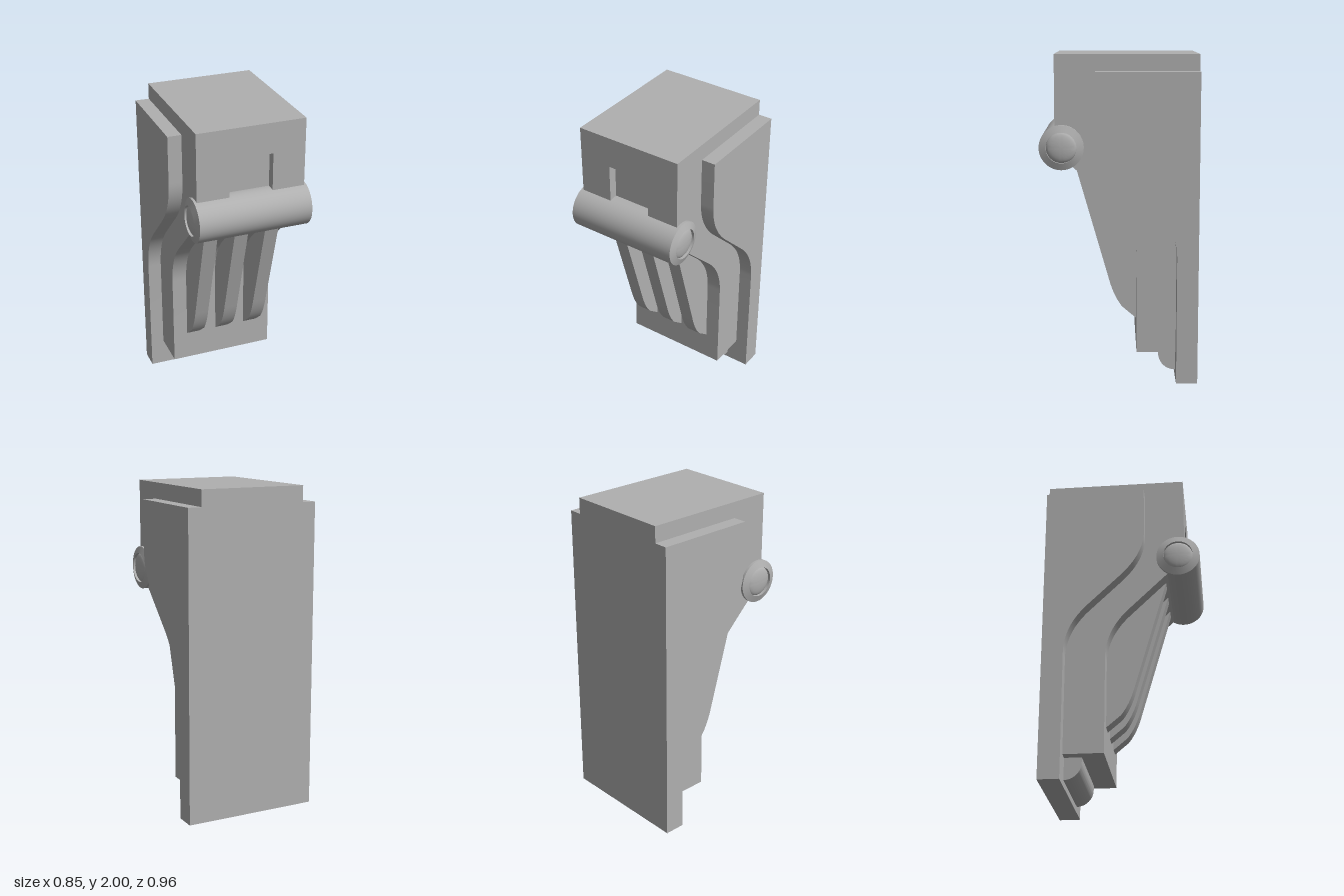
import * as THREE from 'three';
import { toCreasedNormals } from 'three/addons/utils/BufferGeometryUtils.js';

const stone = new THREE.MeshStandardMaterial({ color: 0xb0b0b0 });
stone.name = 'grey stone';

function addPart(group, name, geometry, crease = 0.5) {
  const mesh = new THREE.Mesh(toCreasedNormals(geometry, crease), stone);
  mesh.name = name;
  group.add(mesh);
  return mesh;
}

// Extrude a side profile drawn in (z, y) to a width centred on x
function sideExtrude(shape, width) {
  const g = new THREE.ExtrudeGeometry(shape, { depth: width, bevelEnabled: false, curveSegments: 20 });
  g.translate(0, 0, -width / 2);
  return g.rotateY(-Math.PI / 2);
}

// Lower half of the S-curve, shared by back plate and body
function lowerCurve(shape, dz) {
  shape.lineTo(-0.35 + dz, 0.78);
  shape.quadraticCurveTo(-0.35 + dz, 0.958, -0.206 + dz, 1.098);
  shape.lineTo(-0.01 + dz, 1.288);
}

export function createModel() {
  const group = new THREE.Group();
  group.name = 'corbel';

  // Back plate with S-curved front
  const plate = new THREE.Shape();
  plate.moveTo(-0.48, 0);
  plate.lineTo(-0.35, 0);
  lowerCurve(plate, 0);
  plate.quadraticCurveTo(0.14, 1.434, 0.14, 1.6);
  plate.lineTo(0.14, 1.9);
  plate.lineTo(-0.48, 1.9);
  addPart(group, 'backPlate', sideExtrude(plate, 0.845));

  // Narrower body, same curve moved forward
  const body = new THREE.Shape();
  body.moveTo(-0.4, 0.175);
  body.lineTo(-0.108, 0.175);
  lowerCurve(body, 0.243);
  body.lineTo(0.33, 1.38);
  body.lineTo(0.33, 2);
  body.lineTo(-0.48, 2);
  body.lineTo(-0.48, 1.9);
  body.lineTo(-0.4, 1.9);
  addPart(group, 'body', sideExtrude(body, 0.674));

  // Front panel with square recess
  const panel = new THREE.Shape();
  panel.moveTo(-0.337, 1.46);
  panel.lineTo(0.337, 1.46);
  panel.lineTo(0.337, 2);
  panel.lineTo(-0.337, 2);
  const hole = new THREE.Path();
  hole.moveTo(-0.135, 1.54);
  hole.lineTo(-0.135, 1.81);
  hole.lineTo(0.135, 1.81);
  hole.lineTo(0.135, 1.54);
  panel.holes.push(hole);
  const panelGeometry = new THREE.ExtrudeGeometry(panel, { depth: 0.055, bevelEnabled: false });
  addPart(group, 'frontPanel', panelGeometry.translate(0, 0, 0.33));

  // Three tapering ribs
  const rib = new THREE.Shape();
  rib.moveTo(-0.15, 0.365);
  rib.lineTo(-0.108, 0.365);
  rib.lineTo(-0.02, 0.44);
  rib.quadraticCurveTo(0.035, 0.51, 0.066, 0.63);
  rib.lineTo(0.275, 1.36);
  rib.lineTo(-0.05, 1.15);
  rib.lineTo(-0.15, 0.8);
  for (const x of [-0.2, 0, 0.2]) {
    addPart(group, 'rib', sideExtrude(rib, 0.088)).position.x = x;
  }

  // Horizontal scroll roll with chamfered ends
  const end = [[0.135, 0.352], [0.092, 0.368], [0.092, 0.347]];
  const dome = [];
  for (let i = 1; i <= 8; i++) {
    const a = (i / 8) * Math.PI / 2;
    dome.push([0.092 * Math.cos(a), 0.347 + 0.025 * Math.sin(a)]);
  }
  const half = [...end, ...dome];
  const points = [
    ...half.slice().reverse().map(([r, y]) => new THREE.Vector2(Math.max(r, 0), -y)),
    ...half.map(([r, y]) => new THREE.Vector2(Math.max(r, 0), y)),
  ];
  const roll = addPart(group, 'scrollRoll', new THREE.LatheGeometry(points, 48).rotateZ(Math.PI / 2), 0.32);
  roll.position.set(0, 1.447, 0.345);

  // Rounded bar under the body
  const bar = new THREE.Shape();
  bar.moveTo(-0.38, 0.04);
  bar.lineTo(-0.35, 0.04);
  bar.absarc(-0.35, 0.145, 0.105, -Math.PI / 2, 0, false);
  bar.lineTo(-0.245, 0.18);
  bar.lineTo(-0.38, 0.18);
  addPart(group, 'lowerBar', sideExtrude(bar, 0.545));

  return group;
}
